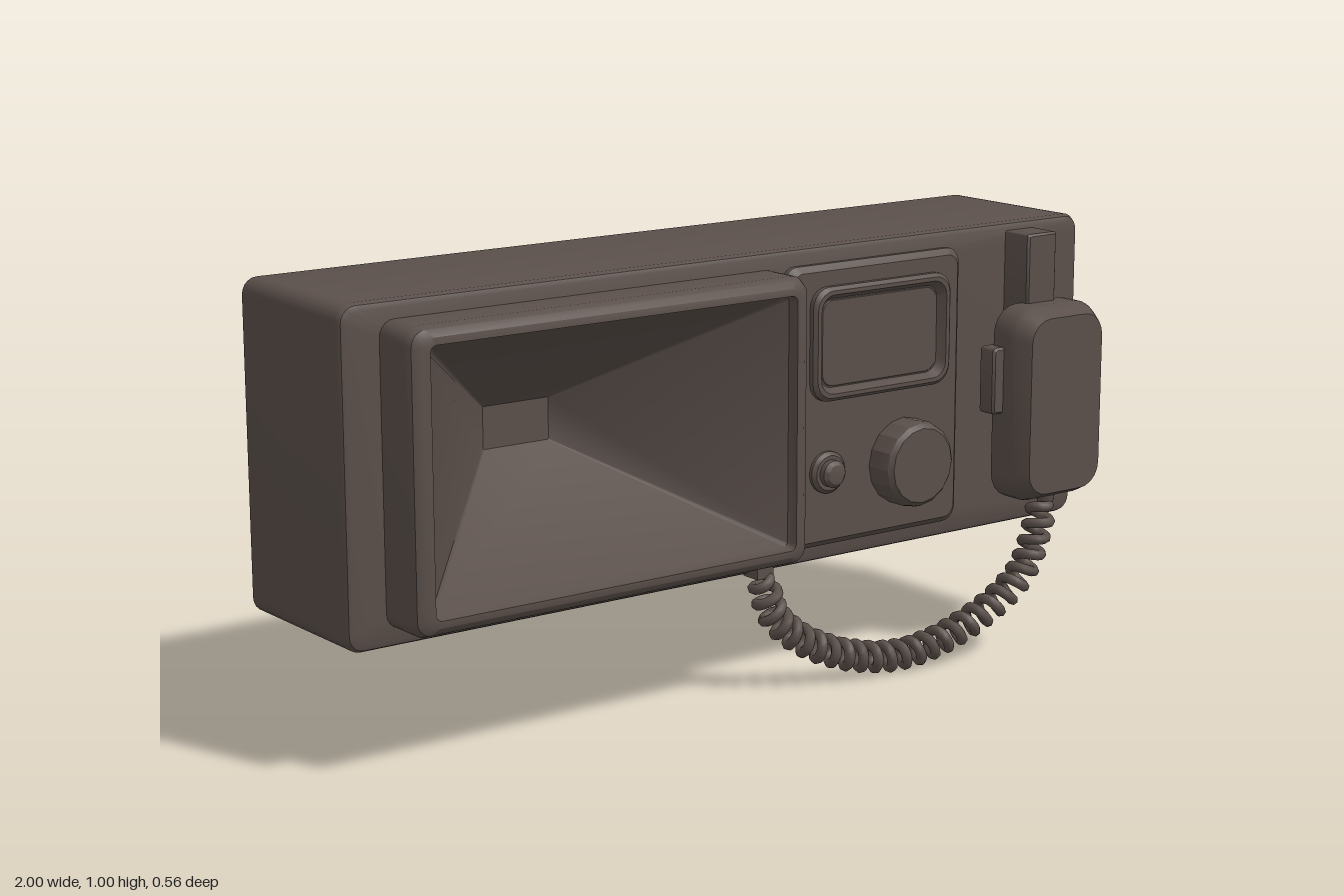
import * as THREE from 'three';
import { toCreasedNormals } from 'three/addons/utils/BufferGeometryUtils.js';

const brown = new THREE.MeshStandardMaterial({ color: 0x5a4f4a });
brown.name = 'dark brown';

// Skin through rounded rectangles [x0, x1, y0, y1, cornerRadius, z], capped at both ends
function loft(rings, capStart = true) {
  const seg = 5, n = 4 * (seg + 1), pos = [], idx = [];
  for (const [x0, x1, y0, y1, r, z] of rings) {
    const centres = [[x1 - r, y1 - r], [x0 + r, y1 - r], [x0 + r, y0 + r], [x1 - r, y0 + r]];
    centres.forEach(([cx, cy], q) => {
      for (let i = 0; i <= seg; i++) {
        const a = (q + i / seg) * Math.PI / 2;
        pos.push(cx + r * Math.cos(a), cy + r * Math.sin(a), z);
      }
    });
  }
  for (let k = 0; k < rings.length - 1; k++) {
    for (let i = 0; i < n; i++) {
      const a = k * n + i, b = k * n + (i + 1) % n;
      idx.push(a, b, b + n, a, b + n, a + n);
    }
  }
  const last = (rings.length - 1) * n;
  for (let i = 1; i < n - 1; i++) {
    if (capStart) idx.push(0, i + 1, i);
    idx.push(last, last + i, last + i + 1);
  }
  const g = new THREE.BufferGeometry();
  g.setAttribute('position', new THREE.Float32BufferAttribute(pos, 3));
  g.setIndex(idx);
  return toCreasedNormals(g, 0.6);
}

// Turned part facing +z
function turned(profile, sides, crease) {
  const g = new THREE.LatheGeometry(profile.map(([r, z]) => new THREE.Vector2(r, z)), sides);
  g.rotateX(Math.PI / 2);
  return toCreasedNormals(g, crease);
}

// Helix wound round a centre line, fading to the line at both ends
class CoilCurve extends THREE.Curve {
  constructor(path, radius, turns) {
    super();
    Object.assign(this, { path, radius, turns, steps: 400 });
    this.frames = path.computeFrenetFrames(this.steps, false);
  }
  getPoint(t, target = new THREE.Vector3()) {
    const i = Math.min(this.steps, Math.max(0, Math.round(t * this.steps)));
    const a = t * this.turns * Math.PI * 2;
    const r = this.radius * Math.min(1, t * 40, (1 - t) * 40);
    return target.copy(this.path.getPointAt(t))
      .addScaledVector(this.frames.normals[i], r * Math.cos(a))
      .addScaledVector(this.frames.binormals[i], r * Math.sin(a));
  }
}

export function createModel() {
  const model = new THREE.Group();
  model.name = 'wallIntercom';
  const add = (name, geometry, x = 0, y = 0, z = 0) => {
    const m = new THREE.Mesh(geometry, brown);
    m.name = name;
    m.position.set(x, y, z);
    model.add(m);
    return m;
  };

  // Cabinet, with a front opening under the horn panel
  add('cabinet', loft([
    [-1, 1, 0.28, 1, 0.035, -0.28],
    [-1, 1, 0.28, 1, 0.035, 0.1],
    [-0.995, 0.995, 0.285, 0.995, 0.034, 0.111],
    [-0.984, 0.984, 0.296, 0.984, 0.03, 0.116],
    [-0.86, 0.055, 0.36, 0.92, 0.01, 0.116],
    [-0.86, 0.055, 0.36, 0.92, 0.01, -0.2],
  ]));

  // Horn panel: stepped rim, then a funnel down to the throat
  add('hornPanel', loft([
    [-0.91, 0.1, 0.32, 0.96, 0.035, 0.11],
    [-0.91, 0.1, 0.32, 0.96, 0.035, 0.205],
    [-0.903, 0.093, 0.327, 0.953, 0.033, 0.224],
    [-0.885, 0.078, 0.342, 0.938, 0.028, 0.235],
    [-0.865, 0.06, 0.357, 0.922, 0.015, 0.235],
    [-0.86, 0.055, 0.362, 0.917, 0.012, 0.21],
    [-0.5, -0.33, 0.59, 0.685, 0.003, -0.15],
  ], false));

  // Control panel
  add('controlPanel', loft([
    [0.108, 0.615, 0.32, 0.96, 0.035, 0.11],
    [0.108, 0.615, 0.32, 0.96, 0.035, 0.127],
    [0.122, 0.601, 0.334, 0.946, 0.028, 0.14],
  ]));

  // Display frame with a sunken screen
  add('displayFrame', loft([
    [0.17, 0.57, 0.655, 0.912, 0.045, 0.13],
    [0.17, 0.57, 0.655, 0.912, 0.045, 0.152],
    [0.178, 0.562, 0.663, 0.904, 0.042, 0.16],
    [0.188, 0.552, 0.672, 0.895, 0.036, 0.16],
    [0.202, 0.538, 0.684, 0.882, 0.03, 0.138],
    [0.205, 0.535, 0.687, 0.879, 0.03, 0.142],
  ]));

  // Knob and push button
  add('tuningKnob', turned([
    [0.1, -0.01], [0.1, 0.045], [0.096, 0.06], [0.086, 0.07], [0, 0.07],
  ], 16, 0.35), 0.445, 0.487, 0.14);
  add('pushButton', turned([
    [0.048, -0.01], [0.048, 0.008], [0.04, 0.016], [0.031, 0.016],
    [0.031, 0.03], [0.022, 0.038], [0, 0.041],
  ], 24, 0.5), 0.22, 0.492, 0.14);

  // Handset with its hook and side key
  add('hook', loft([
    [0.768, 0.857, 0.77, 0.98, 0.006, 0.11],
    [0.768, 0.857, 0.77, 0.98, 0.006, 0.19],
    [0.773, 0.852, 0.775, 0.975, 0.004, 0.195],
  ]));
  add('handset', loft([
    [0.695, 0.942, 0.375, 0.81, 0.06, 0.165],
    [0.685, 0.95, 0.365, 0.82, 0.065, 0.175],
    [0.685, 0.95, 0.365, 0.82, 0.065, 0.23],
    [0.69, 0.945, 0.37, 0.815, 0.063, 0.245],
    [0.708, 0.927, 0.387, 0.798, 0.055, 0.28],
  ]));
  add('talkKey', loft([
    [0.655, 0.72, 0.575, 0.73, 0.01, 0.165],
    [0.655, 0.72, 0.575, 0.73, 0.01, 0.205],
    [0.66, 0.715, 0.58, 0.725, 0.008, 0.21],
  ]));

  // Coiled cord with a sleeve at each end
  const path = new THREE.CatmullRomCurve3([
    [0.045, 0.285, 0.13], [0.085, 0.175, 0.13], [0.2, 0.088, 0.15], [0.4, 0.041, 0.177],
    [0.6, 0.085, 0.195], [0.75, 0.19, 0.215], [0.815, 0.36, 0.22],
  ].map((p) => new THREE.Vector3(...p)));
  add('coiledCord', new THREE.TubeGeometry(new CoilCurve(path, 0.0265, 27), 480, 0.0125, 7));
  add('cordSleeve', new THREE.CylinderGeometry(0.022, 0.018, 0.03, 16), 0.817, 0.36, 0.22);
  add('cordSocket', new THREE.BoxGeometry(0.045, 0.03, 0.05), 0.045, 0.29, 0.12);

  return model;
}
